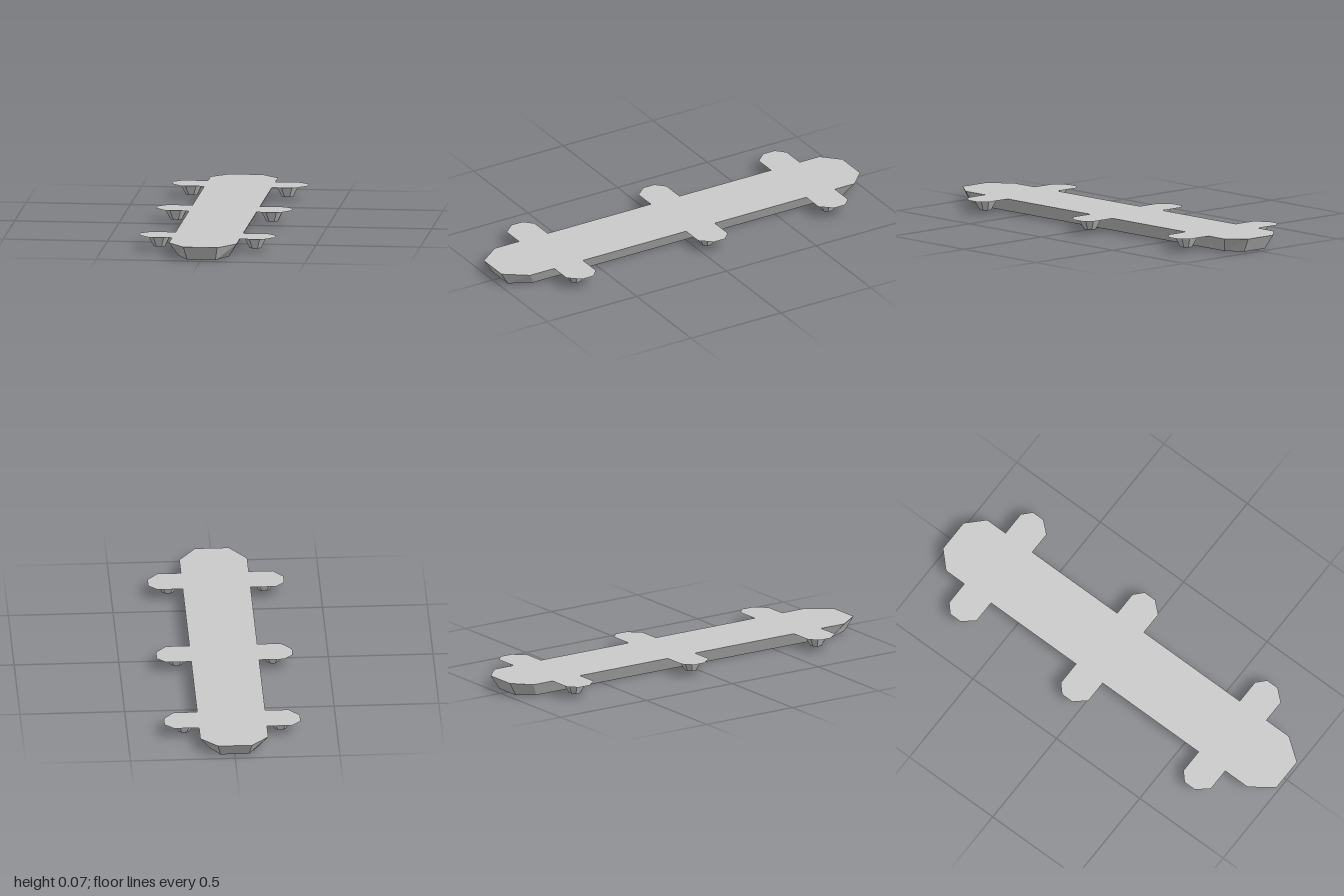
import * as THREE from 'three';

const TOP = 0.068;
const material = new THREE.MeshStandardMaterial({ color: 0xcccccc, flatShading: true, side: THREE.DoubleSide });

// Right half of an outline [x, z], front to back, completed by its mirror image
const mirrored = (half) => [...half, ...half.map(([x, z]) => [-x, z]).reverse()];

// Open-topped tapered body: sloping sides between two rings plus a flat underside
function taperedBody(bottom, top, y0, y1) {
  const n = bottom.length;
  const position = [];
  const low = (i) => [bottom[i % n][0], y0, bottom[i % n][1]];
  const high = (i) => [top[i % n][0], y1, top[i % n][1]];
  for (let i = 0; i < n; i++) {
    position.push(...low(i), ...low(i + 1), ...high(i + 1));
    position.push(...low(i), ...high(i + 1), ...high(i));
    if (i > 0 && i < n - 1) position.push(...low(0), ...low(i + 1), ...low(i));
  }
  const geometry = new THREE.BufferGeometry();
  geometry.setAttribute('position', new THREE.Float32BufferAttribute(position, 3));
  geometry.computeVertexNormals();
  return geometry;
}

// Square ring with chamfered corners
const chamferedRing = (r, f) => mirrored([[f, r], [r, f], [r, -f], [f, -r]]);

export function createModel() {
  const model = new THREE.Group();
  const add = (name, geometry, x = 0, y = 0, z = 0) => {
    const mesh = new THREE.Mesh(geometry, material);
    mesh.name = name;
    mesh.position.set(x, y, z);
    model.add(mesh);
  };

  // Hull with chamfered ends
  const hullTop = mirrored([[0.081, 1], [0.162, 0.89], [0.162, -0.92], [0.081, -1]]);
  const hullBottom = mirrored([[0.068, 0.957], [0.122, 0.845], [0.122, -0.877], [0.068, -0.957]]);
  add('hull', taperedBody(hullBottom, hullTop, 0, TOP));

  // Thin flat deck with three pairs of side tabs
  const tabs = [0.675, -0.06, -0.73];
  const half = [[0.081, 1], [0.162, 0.89]];
  for (const z of tabs) {
    half.push([0.162, z + 0.08], [0.275, z + 0.08], [0.325, z + 0.023],
      [0.325, z - 0.04], [0.282, z - 0.08], [0.162, z - 0.08]);
  }
  half.push([0.162, -0.92], [0.081, -1]);
  const outline = new THREE.Shape(mirrored(half).map(([x, z]) => new THREE.Vector2(x, -z)));
  add('deck', new THREE.ShapeGeometry(outline).rotateX(-Math.PI / 2), 0, TOP, 0);

  // Tapered pod beneath each tab
  const pod = taperedBody(chamferedRing(0.027, 0.012), chamferedRing(0.053, 0.026), 0.015, TOP);
  for (const z of [0.678, -0.053, -0.727]) {
    add('leftPod', pod, 0.23, 0, z);
    add('rightPod', pod, -0.23, 0, z);
  }
  return model;
}
